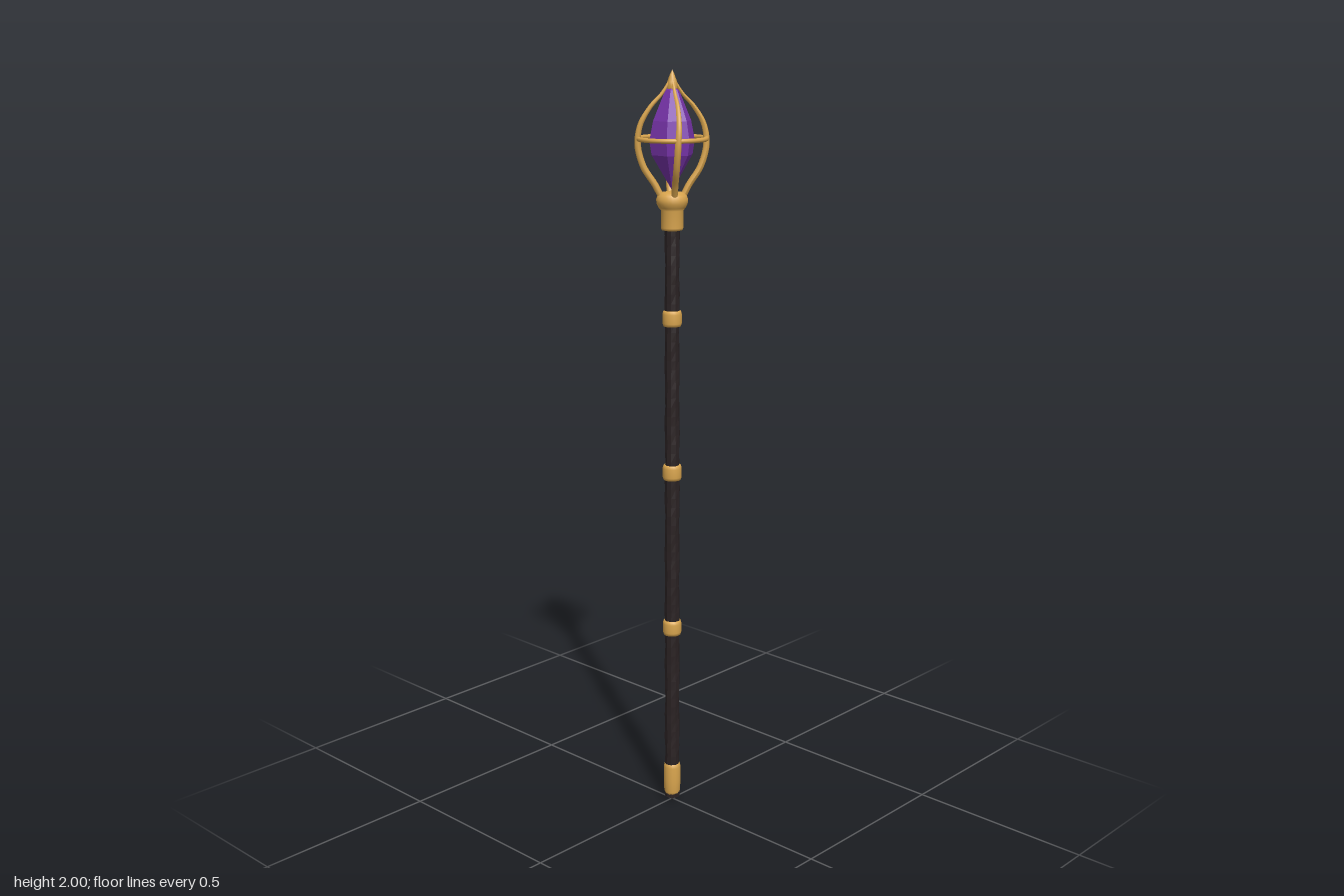
import * as THREE from 'three';

const gold = new THREE.MeshStandardMaterial({ color: 0xd9a54e });
const wood = new THREE.MeshStandardMaterial({ color: 0x2a2223, flatShading: true });
const purple = new THREE.MeshStandardMaterial({ color: 0x7a35ad, flatShading: true });

export function createModel() {
  const staff = new THREE.Group();
  staff.name = 'staff';

  const add = (name, geometry, material, y = 0) => {
    const mesh = new THREE.Mesh(geometry, material);
    mesh.name = name;
    mesh.position.y = y;
    staff.add(mesh);
    return mesh;
  };
  const lathe = (points, sides) =>
    new THREE.LatheGeometry(points.map(([r, y]) => new THREE.Vector2(r, y)), sides);

  // Shaft with slightly uneven, hand-carved surface
  const shaft = new THREE.CylinderGeometry(0.019, 0.0205, 1.6, 10, 64);
  const p = shaft.attributes.position;
  for (let i = 0; i < p.count; i++) {
    const x = p.getX(i), y = p.getY(i), z = p.getZ(i);
    const a = Math.atan2(z, x);
    const k = 1 + 0.04 * Math.sin(2 * a + y * 37) + 0.03 * Math.sin(3 * a - y * 83);
    p.setX(i, x * k);
    p.setZ(i, z * k);
  }
  shaft.computeVertexNormals();
  add('shaft', shaft, wood, 0.81);

  // Foot cap with a small nub below it
  add('footCap', lathe([[0, 0.015], [0.018, 0.016], [0.022, 0.026], [0.0235, 0.06],
    [0.0235, 0.1], [0.021, 0.11], [0.017, 0.112]], 16), gold);
  add('footNub', new THREE.CylinderGeometry(0.009, 0.004, 0.02, 10), wood, 0.01);

  // Rounded bands around the shaft
  for (const y of [0.515, 0.955, 1.37]) {
    add('band', lathe([[0.018, -0.021], [0.023, -0.02], [0.0255, -0.012], [0.0255, 0.012],
      [0.023, 0.02], [0.018, 0.021]], 20), gold, y);
  }

  // Collar and flared seat under the crystal
  add('collar', lathe([[0.018, 1.598], [0.027, 1.6], [0.029, 1.606], [0.029, 1.65],
    [0.035, 1.657], [0.04, 1.668], [0.041, 1.678], [0.037, 1.688], [0.029, 1.695],
    [0, 1.7]], 24), gold);

  // Six-sided crystal, corners on the x axis
  const crystal = lathe([[0, 1.7], [0.054, 1.79], [0.06, 1.825], [0.05, 1.875],
    [0.018, 1.95], [0, 1.965]], 6);
  crystal.rotateY(Math.PI / 2);
  add('crystal', crystal, purple);

  // Horizontal ring
  const ring = new THREE.TorusGeometry(0.087, 0.006, 10, 48);
  ring.rotateX(Math.PI / 2);
  add('ring', ring, gold, 1.83);

  // Four bowed prongs, thinner toward the tip
  const path = new THREE.CatmullRomCurve3([[0.026, 1.68], [0.044, 1.715], [0.073, 1.76],
    [0.088, 1.815], [0.082, 1.865], [0.056, 1.91], [0.028, 1.94], [0.013, 1.962],
    [0.004, 1.978]].map(([r, y], i) => {
    const twist = 0.06 * Math.sin(i * Math.PI / 4);
    return new THREE.Vector3(r * Math.cos(twist), y, r * Math.sin(twist));
  }));
  const prong = new THREE.TubeGeometry(path, 36, 0.0085, 8);
  const q = prong.attributes.position, v = new THREE.Vector3();
  for (let i = 0; i < q.count; i++) {
    const t = Math.floor(i / 9) / 36;
    const centre = path.getPointAt(t);
    const scale = t < 0.45 ? 1 : 1 - 0.62 * (t - 0.45) / 0.55;
    v.fromBufferAttribute(q, i).sub(centre).multiplyScalar(scale).add(centre);
    q.setXYZ(i, v.x, v.y, v.z);
  }
  prong.computeVertexNormals();
  for (let i = 0; i < 4; i++) {
    add('prong', prong, gold).rotation.y = -0.6 + i * Math.PI / 2;
  }

  // Pointed finial where the prongs meet
  add('finial', lathe([[0, 1.942], [0.011, 1.946], [0.0145, 1.956], [0.0125, 1.97],
    [0.006, 1.988], [0, 2]], 8), gold);

  return staff;
}
